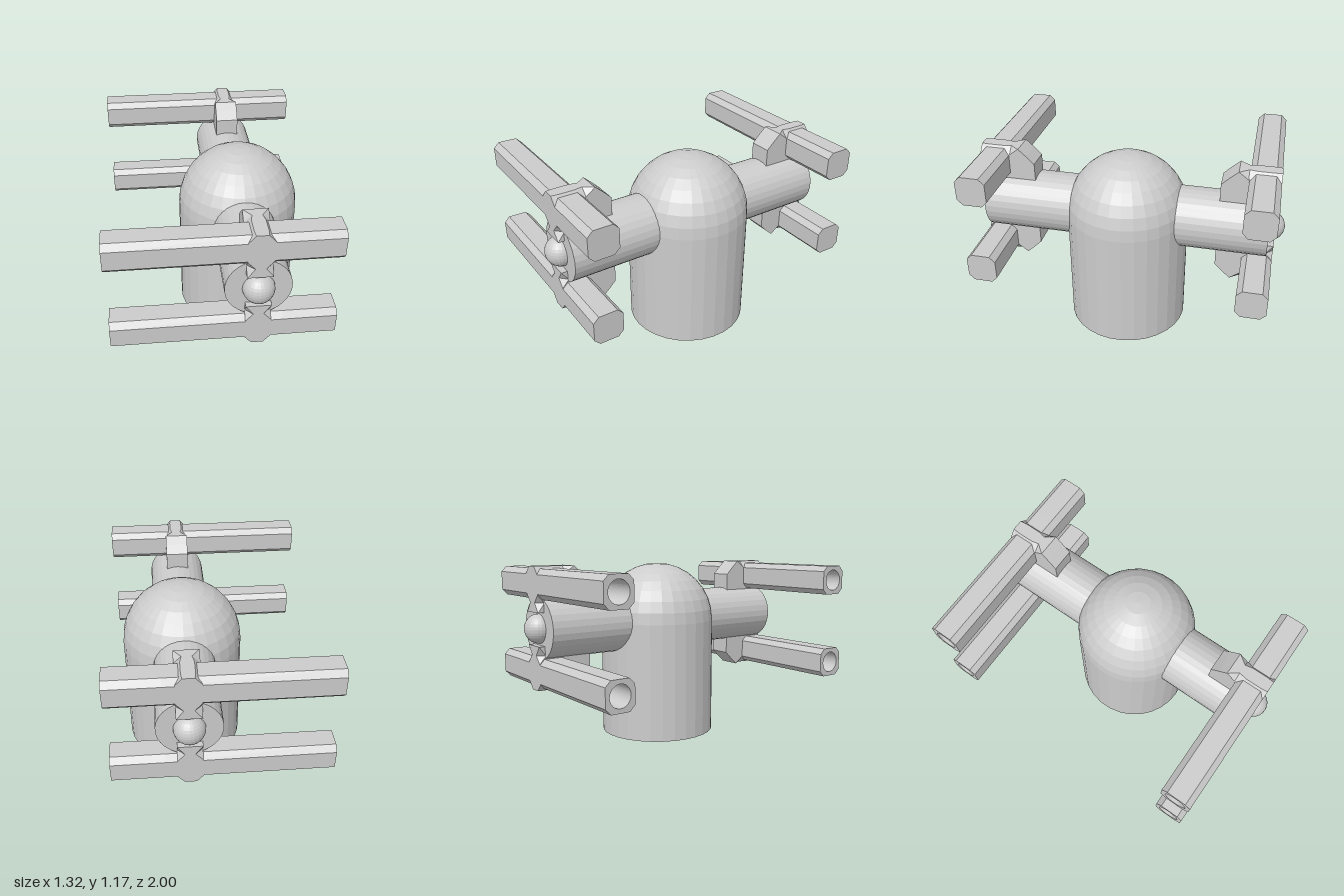
import * as THREE from 'three';
import { mergeGeometries } from 'three/addons/utils/BufferGeometryUtils.js';
import { ConvexGeometry } from 'three/addons/geometries/ConvexGeometry.js';

const CX = 0.195;   // x of the body and arm axis
const AXIS_Y = 0.785; // height of the arm axis

export function createModel() {
  const model = new THREE.Group();
  model.name = 'turret';
  const material = new THREE.MeshStandardMaterial({ color: 0xcccccc, flatShading: true });

  const add = (name, geometry, x, y, z) => {
    const mesh = new THREE.Mesh(geometry, material);
    mesh.name = name;
    mesh.position.set(x, y, z);
    model.add(mesh);
    return mesh;
  };

  // Body: upright cylinder with a hemispherical dome
  const profile = [new THREE.Vector2(0, 0), new THREE.Vector2(0.39, 0)];
  for (let i = 0; i <= 8; i++) {
    const a = (i / 8) * Math.PI / 2;
    profile.push(new THREE.Vector2(i === 8 ? 0 : 0.39 * Math.cos(a), AXIS_Y + 0.39 * Math.sin(a)));
  }
  add('domedBody', new THREE.LatheGeometry(profile, 30), CX, 0, 0);

  // Cross arm running front to back through the body
  const arm = new THREE.CylinderGeometry(0.195, 0.195, 1.81, 30).rotateX(Math.PI / 2);
  add('crossArm', arm, CX, AXIS_Y, 0);

  const barrelGeometry = makeBarrel();
  for (const sz of [1, -1]) {
    const end = sz > 0 ? 'front' : 'back';
    add(end + 'Ball', new THREE.SphereGeometry(0.094, 24, 16), CX, AXIS_Y, sz * 0.905);
    for (const sy of [1, -1]) {
      const label = end + (sy > 0 ? 'Upper' : 'Lower');
      add(label + 'Barrel', barrelGeometry, -0.66, AXIS_Y + sy * 0.28, sz * 0.85);
      add(label + 'Mount', makeMount(sy, sz), CX, AXIS_Y, 0);
    }
  }
  return model;
}

// Octagonal barrel along x, bored from its -x end
function makeBarrel() {
  const octagon = () => {
    const h = 0.095, c = 0.06;
    return new THREE.Shape([[h, -c], [h, c], [c, h], [-c, h], [-h, c], [-h, -c], [-c, -h], [c, -h]]
      .map(([x, y]) => new THREE.Vector2(x, y)));
  };
  const boredShape = octagon();
  const bore = new THREE.Path();
  bore.absarc(0, 0, 0.068, 0, Math.PI * 2, true);
  boredShape.holes.push(bore);
  const options = { bevelEnabled: false, curveSegments: 24 };
  const bored = new THREE.ExtrudeGeometry(boredShape, { ...options, depth: 1 });
  const solid = new THREE.ExtrudeGeometry(octagon(), { ...options, depth: 0.32 }).translate(0, 0, 1);
  return mergeGeometries([bored, solid]).rotateY(Math.PI / 2);
}

// Elbow mount, with notched edges, mirrored by the signs sy and sz
function makeMount(sy, sz) {
  const W = 0.075;
  const pair = (w, y, z) => [w, -w].map((x) => new THREE.Vector3(x, sy * (y - AXIS_Y), sz * z));
  const parts = [];

  // Core block with a sloping inner shoulder
  const core = [[0.89, 0.59], [0.89, 0.9], [1.13, 0.9], [1.13, 0.64], [1.08, 0.59]];
  parts.push(new ConvexGeometry(core.flatMap(([y, z]) => pair(W, y, z))));

  // Bevelled layer: stations of [base y, base z, face y, face z, face half width]
  const layer = (stations) => {
    for (let i = 0; i + 1 < stations.length; i++) {
      const points = [stations[i], stations[i + 1]].flatMap(([by, bz, fy, fz, w]) =>
        [...pair(W, by, bz), ...pair(w, fy, fz)]);
      parts.push(new ConvexGeometry(points));
    }
  };
  // Outward face, pinched between arm and barrel
  layer([
    [0.89, 0.9, 0.89, 0.945, W],
    [0.95, 0.9, 0.95, 0.945, 0.03],
    [1.0, 0.9, 1.0, 0.945, W],
    [1.13, 0.9, 1.13, 0.945, W],
    [1.13, 0.9, 1.175, 0.945, 0.035],
  ]);
  // Top face, pinched behind the barrel
  layer([
    [1.13, 0.9, 1.175, 0.945, 0.035],
    [1.13, 0.9, 1.175, 0.9, 0.04],
    [1.13, 0.8, 1.175, 0.8, 0.04],
    [1.13, 0.75, 1.175, 0.75, 0.03],
    [1.13, 0.64, 1.175, 0.69, W],
  ]);
  return mergeGeometries(parts);
}
